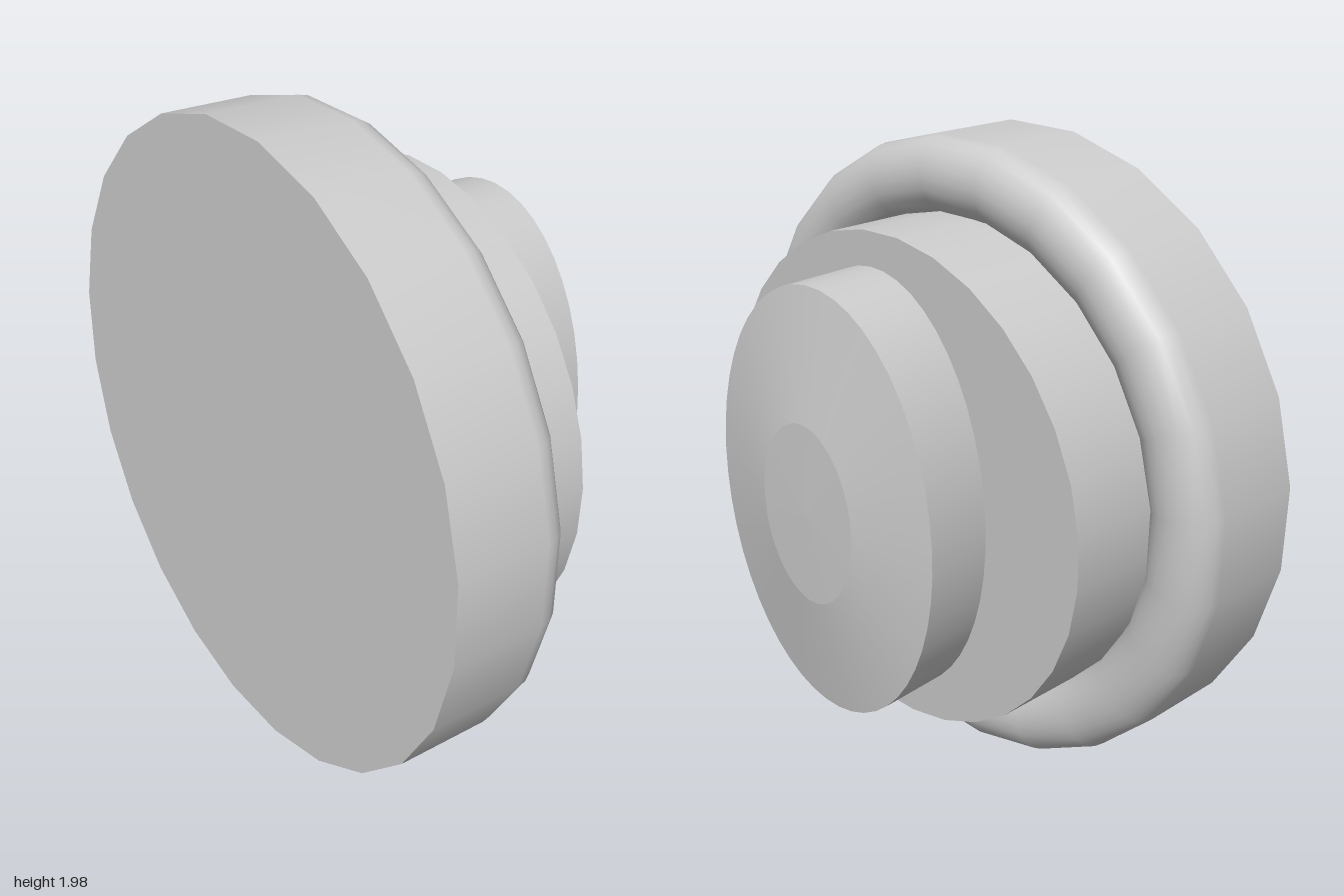
import * as THREE from 'three';

const material = new THREE.MeshStandardMaterial({ color: 0xcccccc });

// Profile of [radius, height] pairs turned round the local y axis
function turned(name, profile, segments) {
  const points = profile.map(([r, h]) => new THREE.Vector2(r, h));
  const mesh = new THREE.Mesh(new THREE.LatheGeometry(points, segments), material);
  mesh.name = name;
  return mesh;
}

// Group whose local y axis points along the given direction
function aligned(name, origin, direction) {
  const group = new THREE.Group();
  group.name = name;
  group.position.set(...origin);
  group.quaternion.setFromUnitVectors(
    new THREE.Vector3(0, 1, 0), new THREE.Vector3(...direction).normalize());
  return group;
}

export function createModel() {
  const model = new THREE.Group();
  model.name = 'steppedKnob';

  // Tilted base: flat back, straight wall, rolled rim dipping to the drum
  const base = aligned('base', [-0.425, 1.01, -0.02], [1, -0.04, 0.087]);
  const rim = [[0.99, 0], [0.99, 0.29]];
  const steps = 10;
  for (let i = 1; i <= steps; i++) {
    const a = (i / steps) * Math.PI;
    rim.push([0.875 + 0.115 * Math.cos(a), 0.29 + 0.1 * Math.sin(a)]);
  }
  base.add(
    turned('flangeBack', [[0, 0], [0.99, 0]], 24),
    turned('flangeRim', rim, 24),
    turned('drumWall', [[0.765, 0.27], [0.765, 0.62]], 32),
    turned('drumFace', [[0.765, 0.62], [0, 0.62]], 32));

  // Oval button with a shallow bevelled end
  const button = aligned('button', [0.435, 0.97, 0.065], [1, -0.04, 0.02]);
  button.scale.set(1, 1, 0.66);
  button.add(
    turned('buttonWall', [[0.665, -0.4], [0.665, 0]], 48),
    turned('buttonBevel', [[0.665, 0], [0.28, 0.062]], 48),
    turned('buttonCap', [[0.28, 0.062], [0, 0.066]], 48));

  model.add(base, button);
  return model;
}
